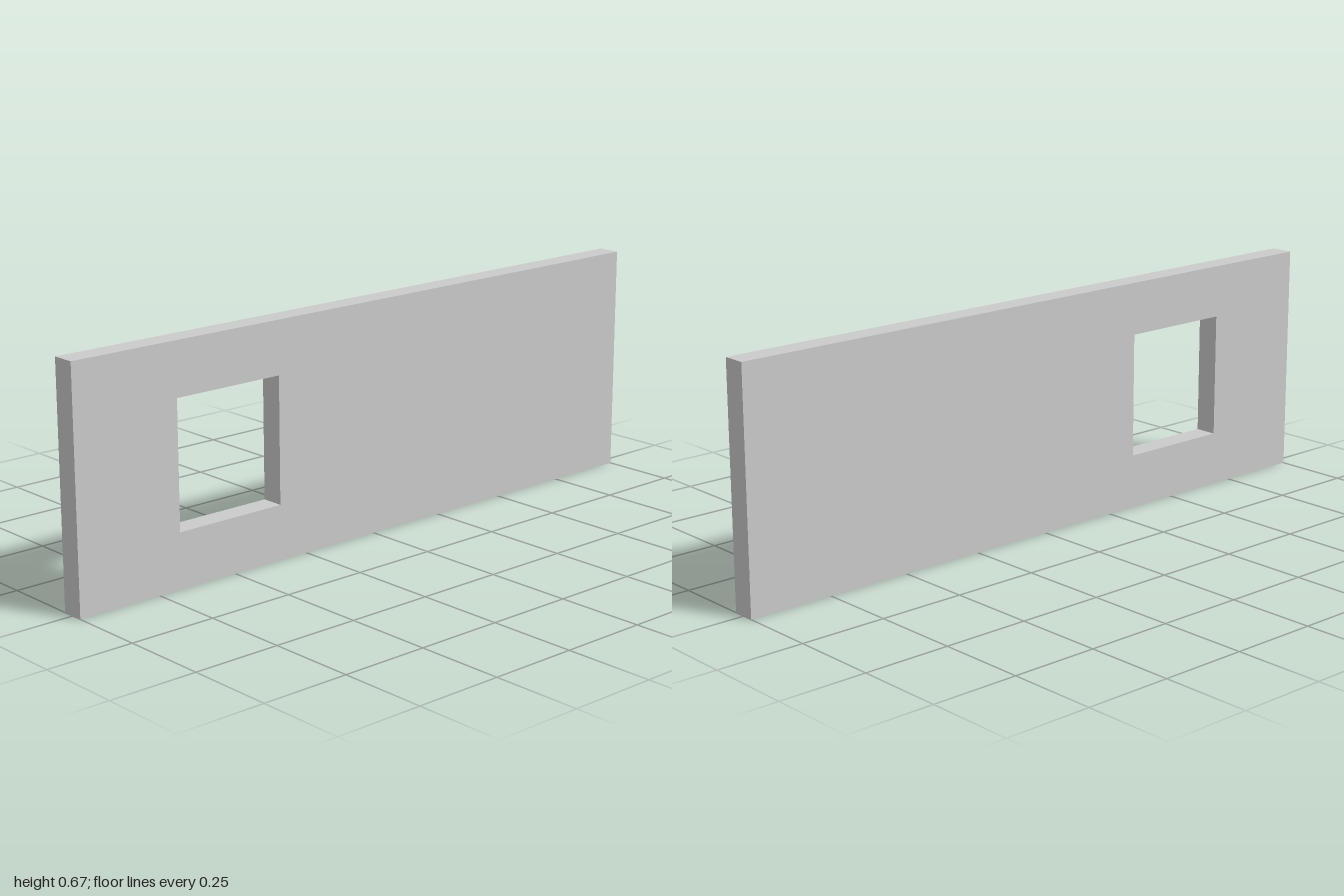
import * as THREE from 'three';

const LENGTH = 2, HEIGHT = 0.667, THICKNESS = 0.066;
const OPENING = { left: -0.68, right: -0.341, bottom: 0.157, top: 0.516 };

// Closed rectangular outline
function rectangle(path, x0, x1, y0, y1) {
  path.moveTo(x0, y0);
  path.lineTo(x1, y0);
  path.lineTo(x1, y1);
  path.lineTo(x0, y1);
  path.closePath();
  return path;
}

export function createModel() {
  const group = new THREE.Group();
  group.name = 'wallWithWindowOpening';

  // Wall panel with one window opening cut through it
  const outline = rectangle(new THREE.Shape(), -LENGTH / 2, LENGTH / 2, 0, HEIGHT);
  outline.holes.push(rectangle(new THREE.Path(), OPENING.left, OPENING.right, OPENING.bottom, OPENING.top));
  const geometry = new THREE.ExtrudeGeometry(outline, { depth: THICKNESS, bevelEnabled: false });
  geometry.translate(0, 0, -THICKNESS / 2);

  const wall = new THREE.Mesh(geometry, new THREE.MeshStandardMaterial({ color: 0xcccccc }));
  wall.name = 'wall';
  group.add(wall);
  return group;
}
